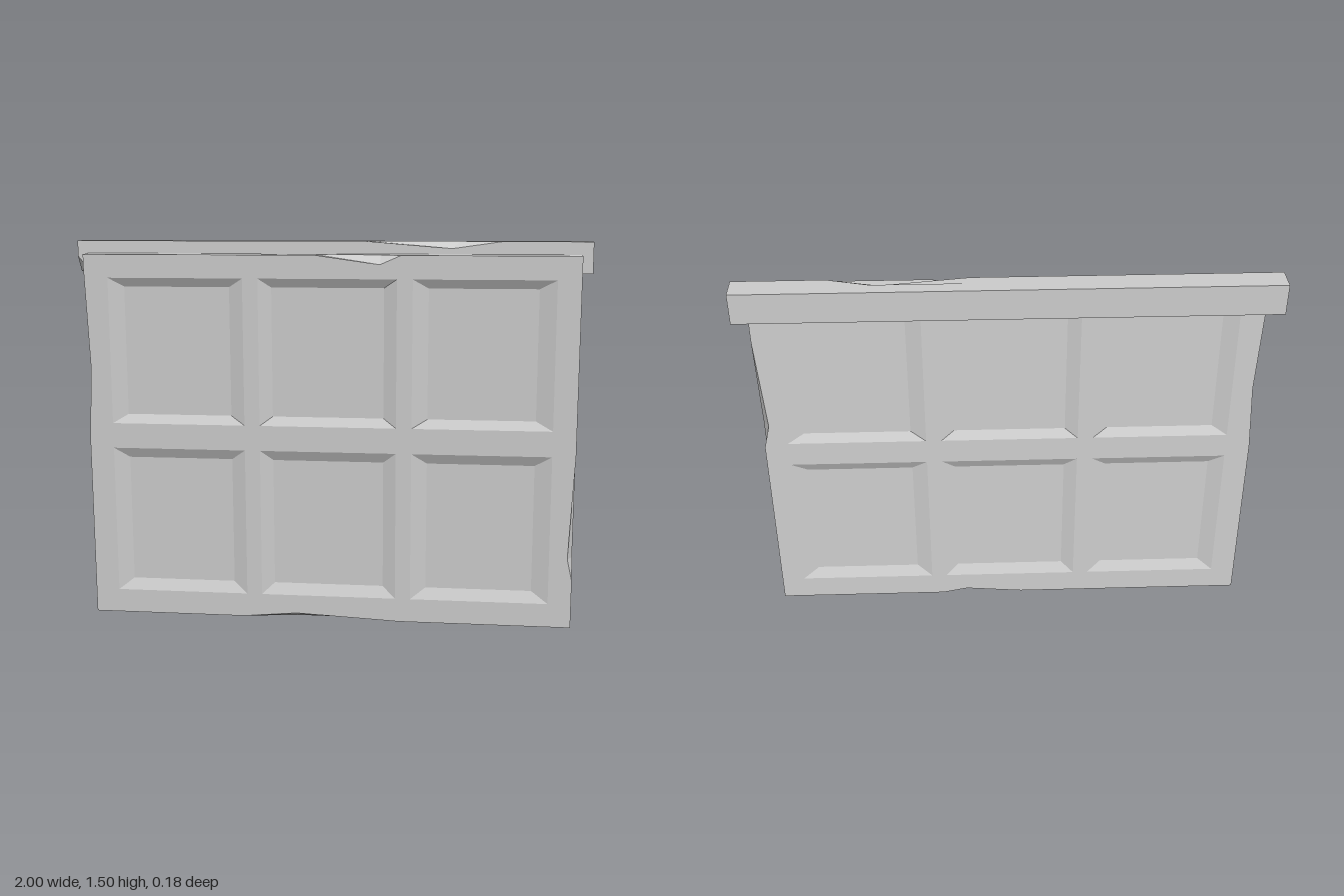
import * as THREE from 'three';

const material = new THREE.MeshStandardMaterial({ color: 0xcccccc, flatShading: true });

function meshFrom(tris, name) {
  const geo = new THREE.BufferGeometry();
  geo.setAttribute('position', new THREE.Float32BufferAttribute(tris.flat(), 3));
  geo.computeVertexNormals();
  const mesh = new THREE.Mesh(geo, material);
  mesh.name = name;
  return mesh;
}

function quad(out, a, b, c, d) {
  out.push(a, b, c, a, c, d);
}

// Flat cap at z with rectangular openings; dir = 1 faces the front, -1 the back
function cap(out, outline, openings, z, dir) {
  const v2 = (p) => new THREE.Vector2(p[0], p[1]);
  const contour = outline.map(v2);
  const holes = openings.map((h) => h.map(v2));
  const all = [contour, ...holes].flat();
  for (const t of THREE.ShapeUtils.triangulateShape(contour, holes)) {
    const [a, b, c] = t.map((i) => all[i]);
    const area = (b.x - a.x) * (c.y - a.y) - (c.x - a.x) * (b.y - a.y);
    const order = area * dir > 0 ? [a, b, c] : [a, c, b];
    order.forEach((p) => out.push([p.x, p.y, z]));
  }
}

// Slab whose edge runs front - ridge - back.
// Edge points: [x, y, front dx, front dy, back dx, back dy], counter-clockwise
function slab(out, edge, zFront, zRidge, zBack, openings = []) {
  const loops = [
    edge.map(([x, y, dx = 0, dy = 0]) => [x + dx, y + dy, zFront]),
    edge.map(([x, y]) => [x, y, zRidge]),
    edge.map(([x, y, , , dx = 0, dy = 0]) => [x + dx, y + dy, zBack]),
  ];
  for (let k = 0; k < 2; k++) {
    edge.forEach((_, i) => {
      const j = (i + 1) % edge.length;
      quad(out, loops[k][i], loops[k + 1][i], loops[k + 1][j], loops[k][j]);
    });
  }
  cap(out, loops[0], openings, zFront, 1);
  cap(out, loops[2], openings, zBack, -1);
}

const rect = (x0, x1, y0, y1) => [[x0, y0], [x1, y0], [x1, y1], [x0, y1]];

// Sloped walls and floor of one sunken field
function recess(out, outer, inner, z, depth, dir) {
  const o = outer.map(([x, y]) => [x, y, z]);
  const n = inner.map(([x, y]) => [x, y, z - dir * depth]);
  const add = (a, b, c, d) => (dir > 0 ? quad(out, a, b, c, d) : quad(out, d, c, b, a));
  for (let i = 0; i < 4; i++) {
    const j = (i + 1) % 4;
    add(o[i], o[j], n[j], n[i]);
  }
  add(n[0], n[1], n[2], n[3]);
}

export function createModel() {
  const group = new THREE.Group();
  group.name = 'coveredPanel';

  // Six sunken fields: [outer low, outer high, inner low, inner high]
  const columns = [
    [-0.86, -0.33, -0.8, -0.385],
    [-0.27, 0.265, -0.22, 0.215],
    [0.325, 0.865, 0.385, 0.8],
  ];
  const rows = [
    [0.095, 0.685, 0.14, 0.645],
    [0.785, 1.36, 0.82, 1.325],
  ];
  const fields = [];
  for (const c of columns) {
    for (const r of rows) {
      fields.push({ outer: rect(c[0], c[1], r[0], r[1]), inner: rect(c[2], c[3], r[2], r[3]) });
    }
  }

  // Leaning panel with chipped edges
  const panelEdge = [
    [-0.955, 0], [-0.35, 0], [-0.13, 0, 0, 0.02], [-0.05, 0, 0, 0.016],
    [0.18, 0, 0, 0.005, 0, 0.02], [0.28, 0], [0.955, 0],
    [0.955, 0.19], [0.955, 0.28, -0.02, 0], [0.955, 0.69],
    [0.955, 0.77], [0.955, 0.87, 0, 0, -0.025, 0], [0.955, 1.25],
    [0.955, 1.45], [0.28, 1.45], [0.2, 1.45, 0, -0.035], [-0.05, 1.45],
    [-0.1, 1.45, 0, 0, 0, -0.035], [-0.3, 1.45],
    [-0.955, 1.45], [-0.955, 1.4], [-0.94, 1.0], [-0.955, 0.73],
  ];
  const half = 0.04;
  const panelTris = [];
  slab(panelTris, panelEdge, half, 0.005, -half, fields.map((f) => f.outer));
  for (const f of fields) {
    for (const dir of [1, -1]) recess(panelTris, f.outer, f.inner, dir * half, 0.02, dir);
  }
  const panel = meshFrom(panelTris, 'panel');
  panel.rotation.x = 0.031;
  panel.position.set(0, 0.001, 0.005);
  group.add(panel);

  // Top beam behind the panel, chipped on its upper front edge and one lower corner
  const beamEdge = [
    [-1, 1.38, 0.05, 0], [1, 1.38], [1, 1.5],
    [0.66, 1.5], [0.5, 1.5, -0.03, -0.027], [0.14, 1.5],
    [-1, 1.5], [-1, 1.44],
  ];
  const beamTris = [];
  slab(beamTris, beamEdge, 0.008, -0.035, -0.09);
  group.add(meshFrom(beamTris, 'topBeam'));

  return group;
}
